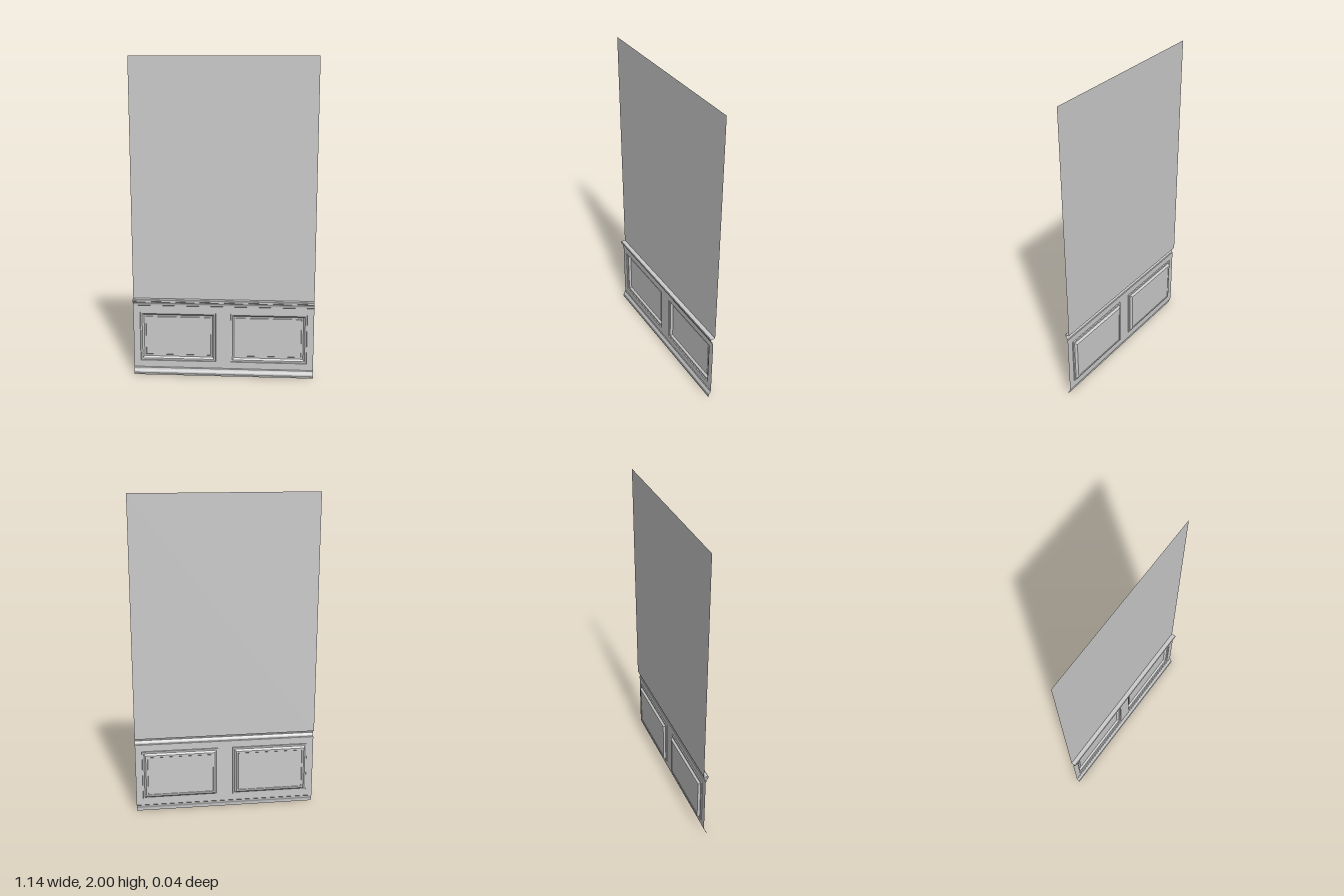
import * as THREE from 'three';
import { toCreasedNormals } from 'three/addons/utils/BufferGeometryUtils.js';

const HALF = 0.57;        // half width of the wall
const WALL_Z = -0.012;    // upper wall plane
const FIELD_Z = 0;        // wainscot plane

const material = new THREE.MeshStandardMaterial({ color: 0xcccccc, side: THREE.DoubleSide });

// Joins successive cross-sections (arrays of [x, y, z]) with quads.
function loft(rows, closed) {
  const pos = [];
  for (let i = 0; i < rows.length - 1; i++) {
    const n = rows[i].length;
    for (let k = 0; k < (closed ? n : n - 1); k++) {
      const a = rows[i][k], b = rows[i][(k + 1) % n];
      const c = rows[i + 1][(k + 1) % n], d = rows[i + 1][k];
      pos.push(...a, ...b, ...c, ...a, ...c, ...d);
    }
  }
  const geo = new THREE.BufferGeometry();
  geo.setAttribute('position', new THREE.Float32BufferAttribute(pos, 3));
  return toCreasedNormals(geo, 0.6);
}

// Open strip moulding: profile of [z, y] points, bottom to top, run along x.
const strip = (profile) => loft(profile.map(([z, y]) => [[-HALF, y, z], [HALF, y, z]]), false);

function add(group, name, geometry) {
  const mesh = new THREE.Mesh(geometry, material);
  mesh.name = name;
  group.add(mesh);
  return mesh;
}

export function createModel() {
  const group = new THREE.Group();
  group.name = 'panelledWall';

  // Plain upper wall
  const wall = add(group, 'upperWall', new THREE.PlaneGeometry(2 * HALF, 1.5));
  wall.position.set(0, 1.25, WALL_Z);

  // Base moulding, widening towards the floor
  add(group, 'baseMoulding', strip([
    [0.018, 0], [0.018, 0.009], [0.014, 0.011], [0.014, 0.018],
    [0.011, 0.025], [0.006, 0.031], [0.004, 0.037], [0.004, 0.043], [FIELD_Z, 0.047],
  ]));

  // Chair rail with a flat top running back to the wall
  add(group, 'chairRail', strip([
    [FIELD_Z, 0.456], [0.004, 0.459], [0.004, 0.465], [0.006, 0.472], [0.010, 0.478],
    [0.013, 0.481], [0.013, 0.485], [0.018, 0.488], [0.018, 0.497], [0.015, 0.5], [WALL_Z, 0.5],
  ]));

  // Wainscot field with two openings
  const field = new THREE.Shape([
    new THREE.Vector2(-HALF, 0.047), new THREE.Vector2(HALF, 0.047),
    new THREE.Vector2(HALF, 0.456), new THREE.Vector2(-HALF, 0.456),
  ]);
  const halfW = 0.241, y0 = 0.09, y1 = 0.412, panelX = 0.287;

  // Recess profile: [inset from opening edge, z]
  const recess = [
    [0, FIELD_Z], [0.002, -0.006], [0.012, -0.007], [0.015, -0.010],
    [0.018, -0.015], [0.023, -0.020], [0.034, -0.021], [0.036, -0.019],
  ];
  const corners = (cx, d, z) => [
    [cx - halfW + d, y0 + d, z], [cx + halfW - d, y0 + d, z],
    [cx + halfW - d, y1 - d, z], [cx - halfW + d, y1 - d, z],
  ];

  for (const side of [-1, 1]) {
    const cx = side * panelX, label = side > 0 ? 'left' : 'right';
    field.holes.push(new THREE.Path(
      corners(cx, 0, 0).reverse().map(([x, y]) => new THREE.Vector2(x, y))));
    add(group, label + 'PanelMoulding', loft(recess.map(([d, z]) => corners(cx, d, z)), true));

    // Flat centre of the panel
    const [d, z] = recess[recess.length - 1];
    const panel = add(group, label + 'Panel',
      new THREE.PlaneGeometry(2 * (halfW - d), y1 - y0 - 2 * d));
    panel.position.set(cx, (y0 + y1) / 2, z);
  }
  add(group, 'wainscotField', new THREE.ShapeGeometry(field)).position.z = FIELD_Z;

  return group;
}
